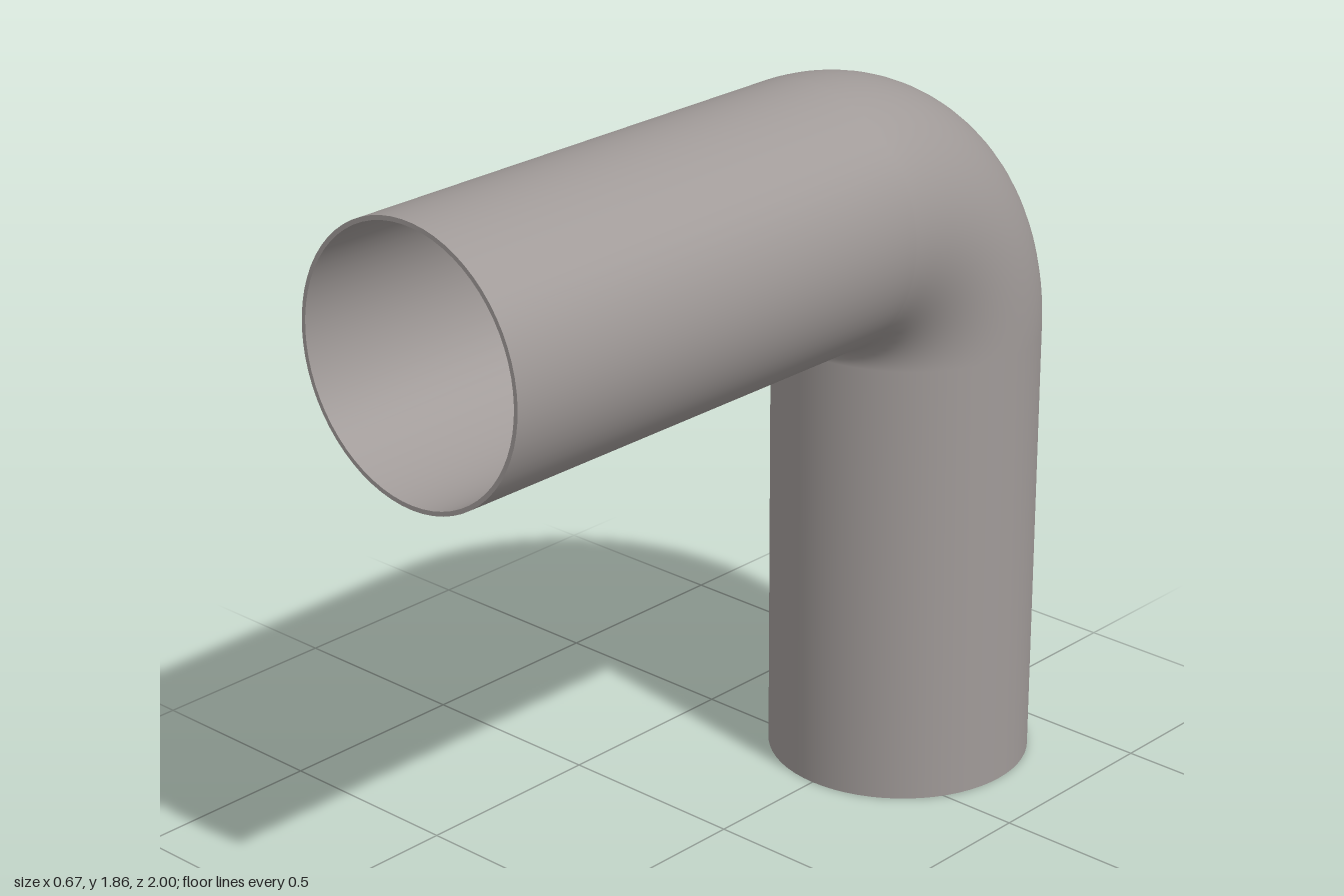
import * as THREE from 'three';
import { toCreasedNormals } from 'three/addons/utils/BufferGeometryUtils.js';

const OUTER = 0.334, INNER = 0.323; // pipe radii
const BEND = 0.373;                 // centreline radius of the elbow
const SIDES = 64;
const LEG = 1.153, ARM = 1.293;     // straight lengths

const COLOR = 0xa09a98;             // warm grey
const material = new THREE.MeshStandardMaterial({ color: COLOR });
const insideMaterial = new THREE.MeshStandardMaterial({ color: COLOR, side: THREE.BackSide });

// Hollow straight pipe: open rim at y = 0, joint at y = length
function straightPipe(name, length) {
  const profile = [[INNER, length], [INNER, 0], [OUTER, 0], [OUTER, length]]
    .map(([r, y]) => new THREE.Vector2(r, y));
  const mesh = new THREE.Mesh(toCreasedNormals(new THREE.LatheGeometry(profile, SIDES), 0.6), material);
  mesh.name = name;
  return mesh;
}

// Quarter-torus wall of the elbow
function elbowWall(name, radius, mat) {
  const mesh = new THREE.Mesh(new THREE.TorusGeometry(BEND, radius, SIDES, 32, Math.PI / 2), mat);
  mesh.name = name;
  return mesh;
}

export function createModel() {
  const model = new THREE.Group();
  model.name = 'pipeElbow';

  // Upright pipe, open at the ground
  const leg = straightPipe('verticalPipe', LEG);
  leg.position.z = 1 - ARM - BEND;

  // Level pipe, open towards the front
  const arm = straightPipe('horizontalPipe', ARM);
  arm.rotation.x = -Math.PI / 2;
  arm.position.set(0, LEG + BEND, 1);

  // Tight quarter bend joining the two
  const elbow = new THREE.Group();
  elbow.name = 'elbow';
  elbow.add(
    elbowWall('elbowOutside', OUTER, material),
    elbowWall('elbowInside', INNER, insideMaterial)
  );
  elbow.rotation.y = Math.PI / 2;
  elbow.position.set(0, LEG, 1 - ARM);

  model.add(leg, arm, elbow);
  return model;
}
